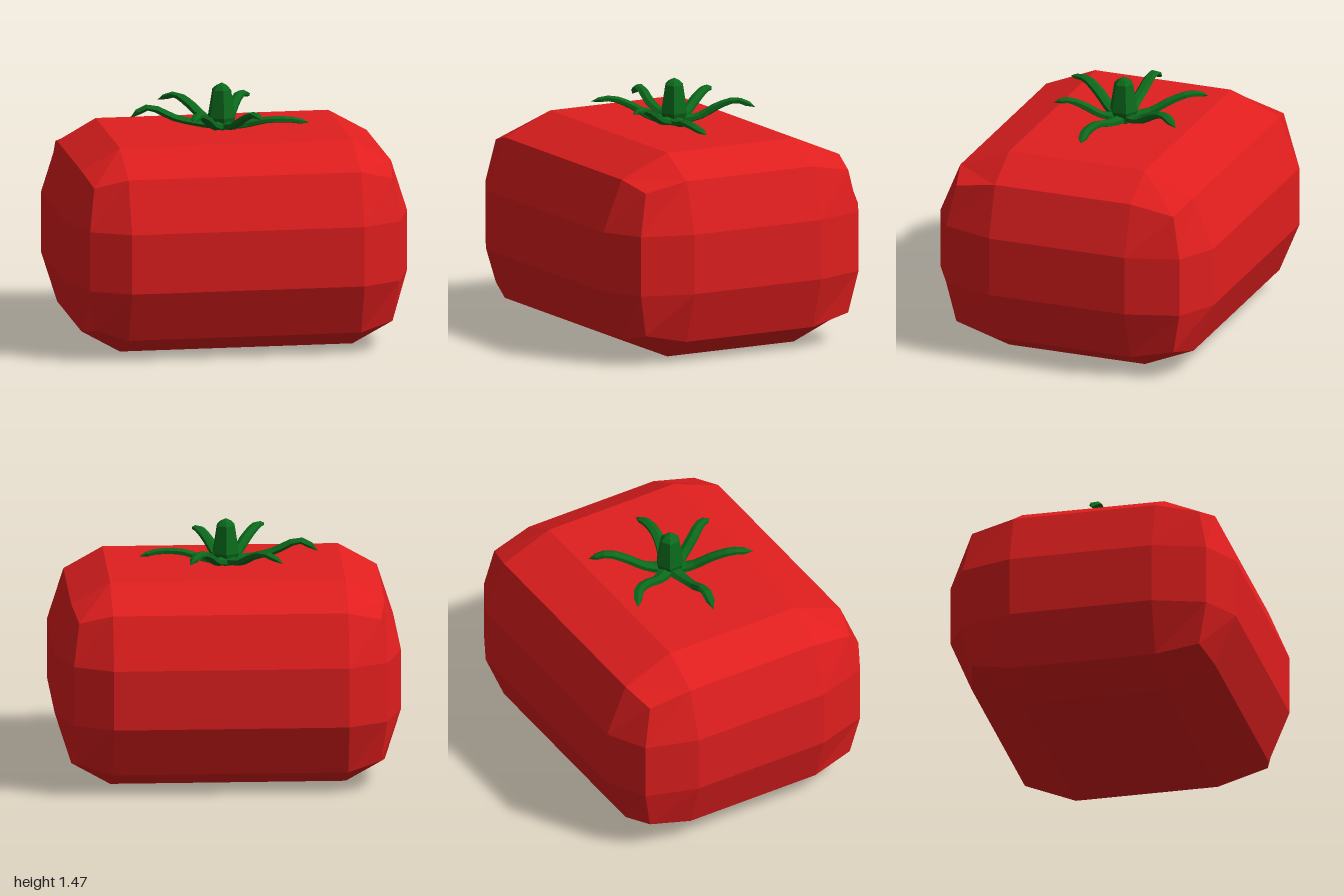
import * as THREE from 'three';

const red = new THREE.MeshStandardMaterial({ color: 0xe01e1e, flatShading: true });
const green = new THREE.MeshStandardMaterial({ color: 0x0c6a1c, flatShading: true });

// Box of 3 x 3 x 3 panels whose edges and corners are pulled inwards
function createBody() {
  const inner = [0.68, 0.175, 0.42];
  const outer = [
    [1, 0.6, 0.845],        // flat face centres
    [0.905, 0.473, 0.722],  // edges
    [0.872, 0.42, 0.672],   // corners
  ];
  const geo = new THREE.BoxGeometry(2, 2, 2, 3, 3, 3);
  const pos = geo.attributes.position;
  for (let i = 0; i < pos.count; i++) {
    const p = [pos.getX(i), pos.getY(i), pos.getZ(i)];
    const isOuter = p.map((c) => Math.abs(c) > 0.9);
    const level = isOuter.filter(Boolean).length - 1;
    const q = p.map((c, a) => Math.sign(c) * (isOuter[a] ? outer[level][a] : inner[a]));
    pos.setXYZ(i, ...q);
  }
  geo.translate(0, 0.6, 0);
  geo.computeVertexNormals();
  const mesh = new THREE.Mesh(geo, red);
  mesh.name = 'tomatoBody';
  return mesh;
}

// Six-sided tapered stalk with a low point on top
function createStem() {
  const profile = [[0, 1.2], [0.06, 1.2], [0.085, 1.27], [0.058, 1.43], [0.035, 1.452], [0, 1.47]];
  const geo = new THREE.LatheGeometry(profile.map((p) => new THREE.Vector2(...p)), 6);
  const mesh = new THREE.Mesh(geo, green);
  mesh.position.set(-0.01, 0, -0.02);
  mesh.name = 'stem';
  return mesh;
}

// Flattened tube along a curve, tapering to a closed tip
function createSepal(points) {
  const curve = new THREE.CatmullRomCurve3(points.map((p) => new THREE.Vector3(...p)));
  const radii = [0.045, 0.048, 0.042, 0.036, 0.035, 0.035, 0.034, 0.033, 0.031, 0.027, 0];
  const steps = radii.length - 1;
  const sides = 6;
  const geo = new THREE.TubeGeometry(curve, steps, 1, sides);
  const pos = geo.attributes.position;
  const v = new THREE.Vector3();
  for (let i = 0; i < pos.count; i++) {
    const ring = Math.floor(i / (sides + 1));
    const centre = curve.getPointAt(ring / steps);
    v.fromBufferAttribute(pos, i).sub(centre).multiplyScalar(radii[ring]);
    v.y *= 0.55;
    v.add(centre);
    pos.setXYZ(i, v.x, v.y, v.z);
  }
  geo.computeVertexNormals();
  const mesh = new THREE.Mesh(geo, green);
  mesh.name = 'sepal';
  return mesh;
}

export function createModel() {
  const model = new THREE.Group();
  model.name = 'tomato';

  // Centre lines of the six leaves, from the stalk outwards
  const root = [-0.01, 1.225, -0.02];
  const sepals = [
    [[-0.09, 1.24, -0.14], [-0.17, 1.31, -0.27], [-0.23, 1.335, -0.36], [-0.32, 1.295, -0.42]],
    [[0.05, 1.24, -0.14], [0.11, 1.31, -0.26], [0.16, 1.335, -0.34], [0.22, 1.295, -0.43]],
    [[0.11, 1.225, 0.01], [0.24, 1.255, 0.05], [0.38, 1.255, 0.065], [0.49, 1.23, 0.05]],
    [[0.04, 1.235, 0.09], [0.08, 1.29, 0.18], [0.13, 1.335, 0.27], [0.16, 1.32, 0.35]],
    [[-0.07, 1.235, 0.08], [-0.14, 1.305, 0.19], [-0.2, 1.345, 0.29], [-0.245, 1.33, 0.4]],
    [[-0.13, 1.235, -0.02], [-0.28, 1.27, -0.02], [-0.44, 1.335, -0.035], [-0.54, 1.275, -0.045]],
  ];
  const calyx = new THREE.Group();
  calyx.name = 'calyx';
  sepals.forEach((points) => calyx.add(createSepal([root, ...points])));

  model.add(createBody(), createStem(), calyx);
  return model;
}
